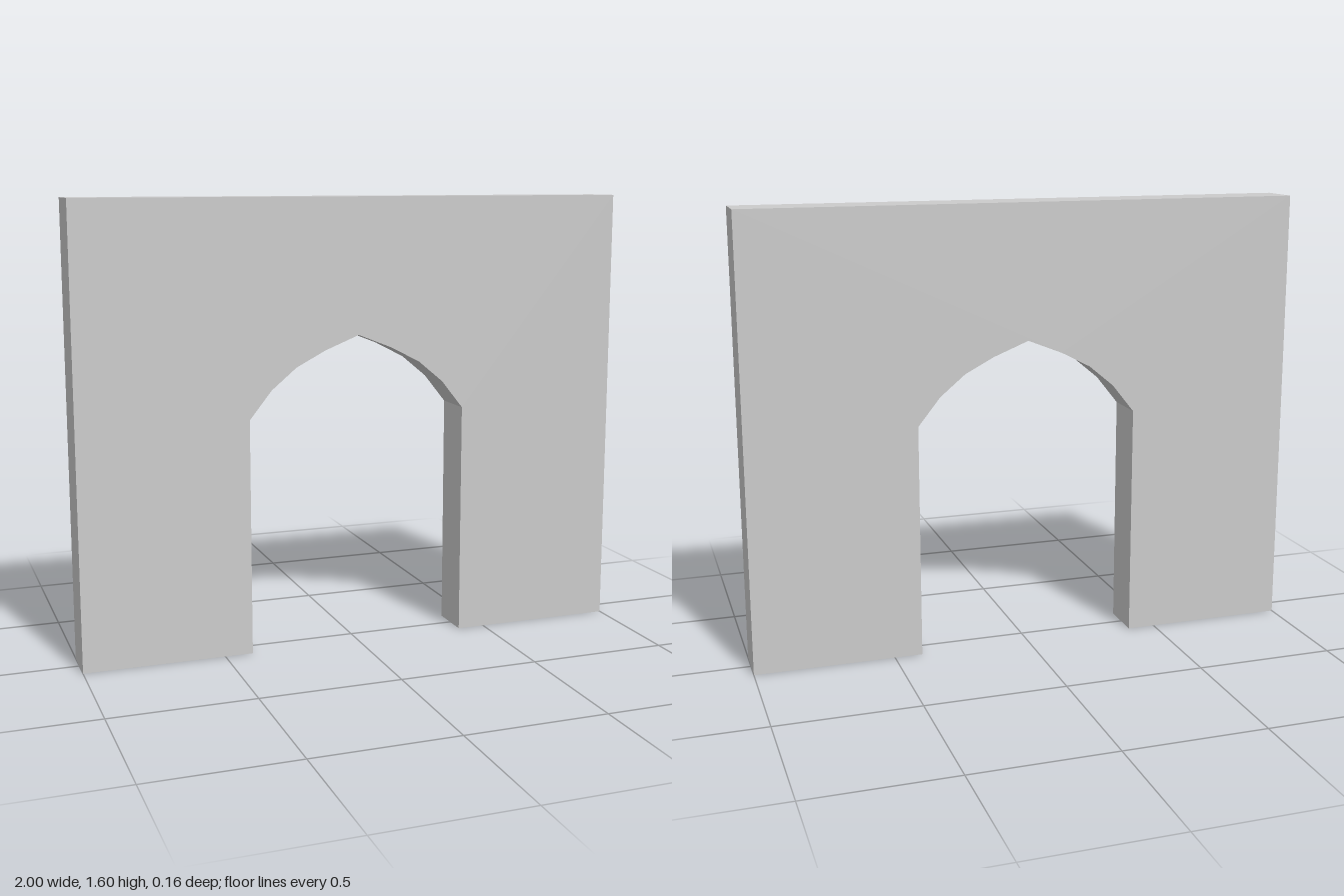
import * as THREE from 'three';
import { toCreasedNormals } from 'three/addons/utils/BufferGeometryUtils.js';

const WIDTH = 2, HEIGHT = 1.6, DEPTH = 0.16;

export function createModel() {
  const group = new THREE.Group();
  group.name = 'archedWall';

  // Half of the pointed arch, from springing line to apex
  const arch = [[0.4, 0.84], [0.32, 0.94], [0.23, 1.015], [0.125, 1.07], [0, 1.12]];
  const half = [[WIDTH / 2, HEIGHT], [WIDTH / 2, 0], [0.4, 0], ...arch];

  // Mirror the half outline to close the wall around the doorway
  const mirrored = half.slice(0, -1).reverse().map(([x, y]) => [-x, y]);
  const outline = [...half, ...mirrored].map(([x, y]) => new THREE.Vector2(x, y));

  const extruded = new THREE.ExtrudeGeometry(new THREE.Shape(outline), {
    depth: DEPTH, bevelEnabled: false,
  });
  extruded.translate(0, 0, -DEPTH / 2);

  // Smooth soffit, sharp corners and apex
  const wall = new THREE.Mesh(
    toCreasedNormals(extruded, 0.4),
    new THREE.MeshStandardMaterial({ color: 0xcccccc }),
  );
  wall.name = 'wallWithPointedDoorway';
  group.add(wall);
  return group;
}
